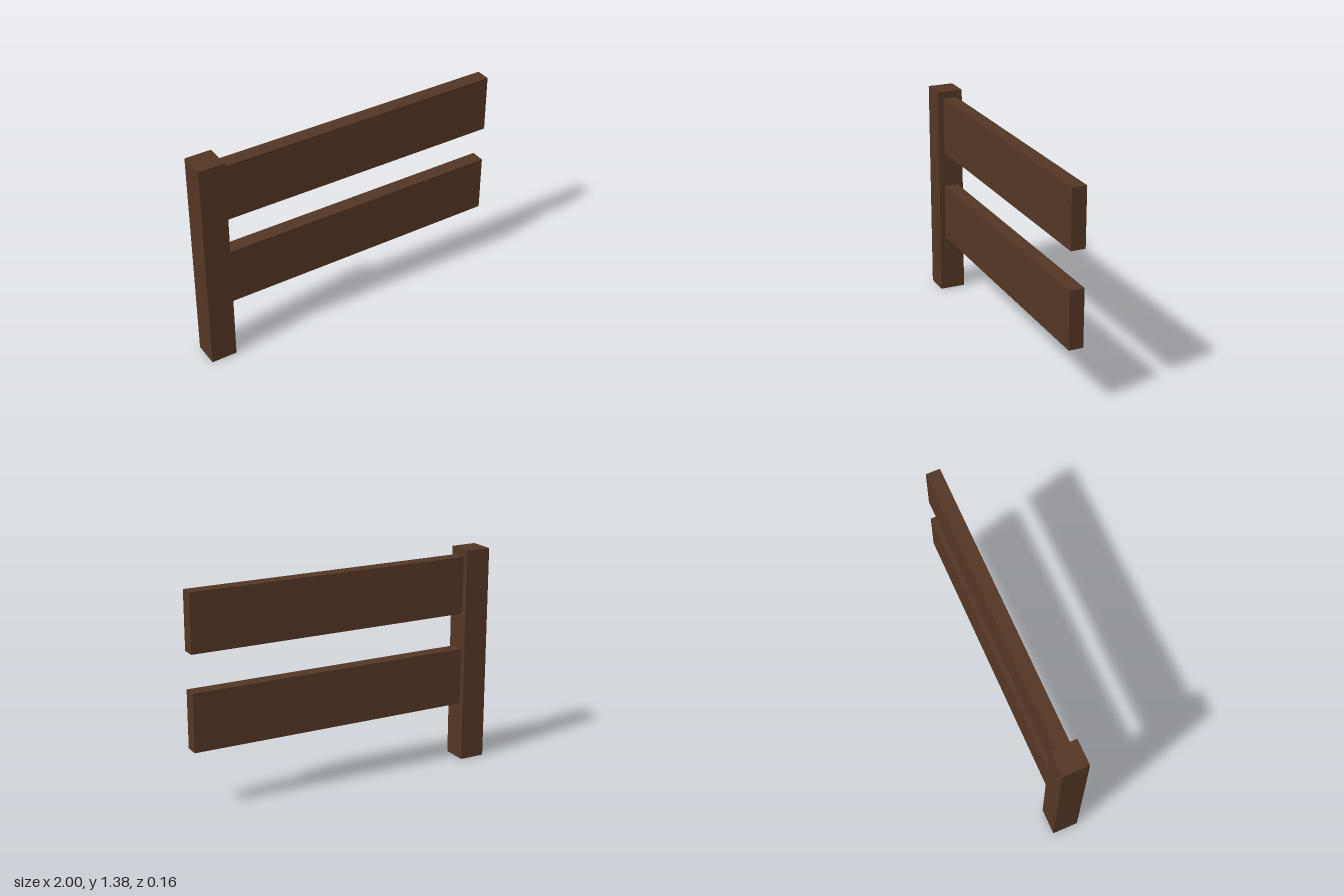
import * as THREE from 'three';

export function createModel() {
  const group = new THREE.Group();
  const wood = new THREE.MeshStandardMaterial({ color: 0x543624 });

  // Adds a box spanning the given minimum and maximum corners
  const addBeam = (name, [x0, y0, z0], [x1, y1, z1]) => {
    const beam = new THREE.Mesh(new THREE.BoxGeometry(x1 - x0, y1 - y0, z1 - z0), wood);
    beam.name = name;
    beam.position.set((x0 + x1) / 2, (y0 + y1) / 2, (z0 + z1) / 2);
    group.add(beam);
  };

  // Upright post at the right end
  const postInner = -0.836;
  addBeam('post', [-1, 0, -0.082], [postInner, 1.377, 0.082]);

  // Two planks butting against the post
  const railHeight = 0.364;
  for (const [name, bottom] of [['lowerRail', 0.371], ['upperRail', 0.967]]) {
    addBeam(name, [postInner, bottom, -0.045], [1, bottom + railHeight, 0.045]);
  }

  return group;
}
